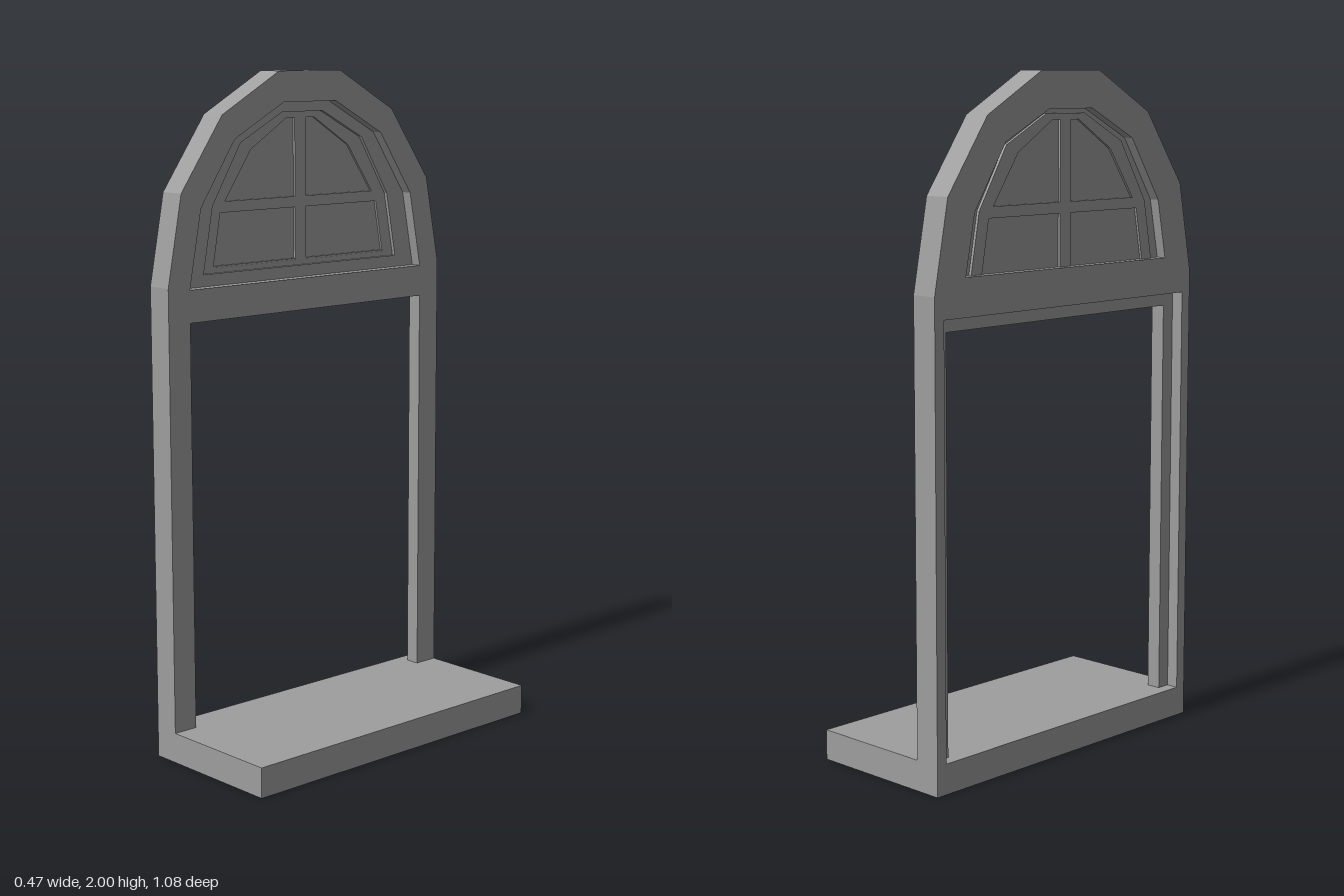
import * as THREE from 'three';

// Half profiles as [distance from centre line, height], from base to crown
const OUTER = [[0.538, 1.4], [0.487, 1.665], [0.335, 1.88], [0.12, 2]];
const FRONT_HOLE = [[0.46, 1.39], [0.416, 1.62], [0.289, 1.81], [0.103, 1.91]];
const BACK_HOLE = [[0.42, 1.445], [0.385, 1.62], [0.265, 1.805], [0.09, 1.893]];
const SASH_HOLE = [[0.383, 1.425], [0.347, 1.62], [0.24, 1.797], [0.08, 1.88]];
const UPPER_PANE = [[0.022, 1.63], [0.292, 1.63], [0.193, 1.775], [0.055, 1.862], [0.022, 1.862]];
const LOWER_PANE = [[0.022, 1.44], [0.338, 1.44], [0.31, 1.598], [0.022, 1.598]];

const mirror = (half) => half.map(([u, v]) => [-u, v]).reverse();
const points = (list) => list.map(([u, v]) => new THREE.Vector2(u, v));
const arch = (half) => points([...half, ...mirror(half)]);

export function createModel() {
  const group = new THREE.Group();
  const material = new THREE.MeshStandardMaterial({ color: 0x9e9e9e, flatShading: true });
  const foot = 0.09;

  function add(name, geometry) {
    const mesh = new THREE.Mesh(geometry, material);
    mesh.name = name;
    group.add(mesh);
    return mesh;
  }

  // Extrudes an upright outline between two x positions
  function slab(name, outline, holes, x0, x1) {
    const shape = new THREE.Shape(outline);
    shape.holes = holes.map((h) => new THREE.Path(h));
    const geometry = new THREE.ExtrudeGeometry(shape, { depth: x1 - x0, bevelEnabled: false });
    geometry.rotateY(Math.PI / 2).translate(x0, 0, 0);
    return add(name, geometry);
  }

  // Arched wall outline around a doorway of given half width and height
  const frame = (half, top) => arch([[half, top], [half, foot], [0.538, foot], ...OUTER]);

  // Two layers: the doorway is rebated at the back, the fanlight at the front
  slab('frameBack', frame(0.503, 1.335), [arch(BACK_HOLE)], -0.235, -0.198);
  slab('frameFront', frame(0.46, 1.295), [arch(FRONT_HOLE)], -0.198, -0.153);

  // Sash: outer ring, cross of glazing bars and the glass inside it
  const panes = [UPPER_PANE, LOWER_PANE].flatMap((p) => [points(p), points(mirror(p))]);
  slab('sashRing', arch(FRONT_HOLE), [arch(SASH_HOLE)], -0.205, -0.186);
  slab('glazingBars', arch(SASH_HOLE), panes, -0.214, -0.197);
  slab('glass', arch(SASH_HOLE), [], -0.207, -0.204);

  // Threshold step reaching out in front of the opening
  add('step', new THREE.BoxGeometry(0.47, foot, 1.076)).position.y = foot / 2;

  return group;
}
